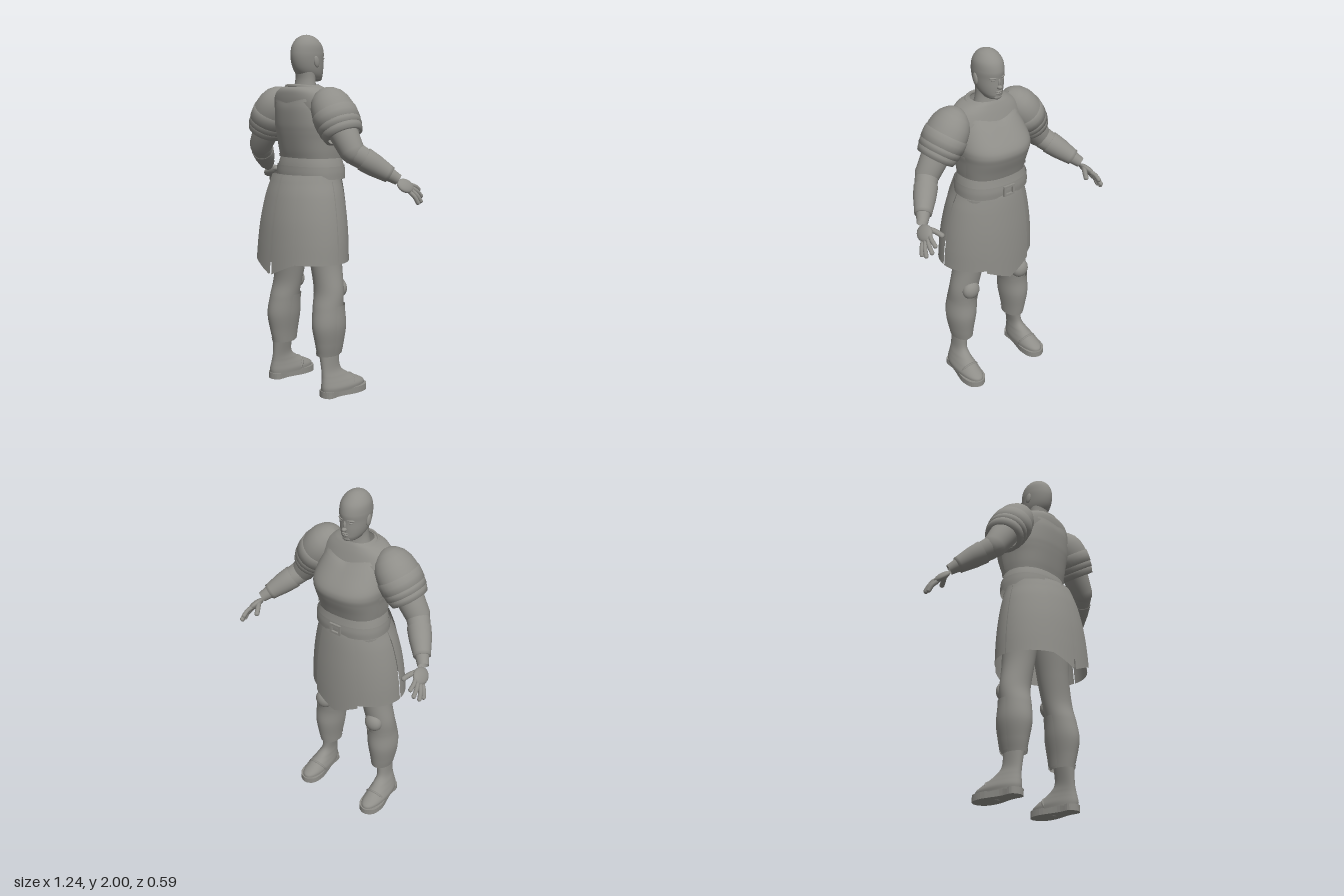
import * as THREE from 'three';
import { ParametricGeometry } from 'three/addons/geometries/ParametricGeometry.js';

const DEG = Math.PI / 180;
const V = (x, y, z) => new THREE.Vector3(x, y, z);

export function createModel() {
  const model = new THREE.Group();
  model.name = 'armouredFigure';
  const grey = new THREE.MeshStandardMaterial({ color: 0x8f8e89, side: THREE.DoubleSide });
  grey.name = 'stone grey';

  const add = (name, geo, parent = model) => {
    const mesh = new THREE.Mesh(geo, grey);
    mesh.name = name;
    parent.add(mesh);
    return mesh;
  };

  // Smooth shell through rings [y, halfWidth, backZ, frontZ, centreX], listed bottom to top.
  // Angles: 0 is +x, 90 is the front (-z), -90 the back.
  const shell = (name, rings, o = {}, parent = model) => {
    const { a0 = 0, a1 = 360, v0 = 0, v1 = 1, p = 2, grow = 0, dy = null, nu = 40, nv = rings.length * 5 } = o;
    const A = new THREE.CatmullRomCurve3(rings.map(r => V(r[0], r[1], r[4] || 0)), false, 'catmullrom');
    const B = new THREE.CatmullRomCurve3(rings.map(r => V(r[2], r[3], 0)), false, 'catmullrom');
    const pow = t => Math.sign(t) * Math.abs(t) ** (2 / p);
    return add(name, new ParametricGeometry((u, v, out) => {
      const t = Math.min(1, Math.max(0, v0 + (v1 - v0) * v));
      const a = (a0 + (a1 - a0) * u) * DEG;
      const m = A.getPoint(t), d = B.getPoint(t);
      const c = pow(Math.cos(a)), s = pow(Math.sin(a));
      const mid = (d.x + d.y) / 2, rz = (d.x - d.y) / 2 + grow;
      out.set(m.z + (m.y + grow) * c, m.x + (dy ? dy(a, t) : 0), mid - rz * s);
    }, nu, nv), parent);
  };

  // Lathe of [distance, radius] points along an axis from one point towards another
  const limb = (name, from, to, profile, parent, zScale = 1) => {
    const geo = new THREE.LatheGeometry(profile.map(([t, r]) => new THREE.Vector2(r, t)), 32);
    const q = new THREE.Quaternion().setFromUnitVectors(V(0, 1, 0), to.clone().sub(from).normalize());
    geo.applyQuaternion(q).scale(1, 1, zScale).translate(from.x, from.y, from.z);
    return add(name, geo, parent);
  };

  const blob = (name, x, y, z, rx, ry, rz, parent = model) => {
    const mesh = add(name, new THREE.SphereGeometry(1, 20, 14), parent);
    mesh.position.set(x, y, z);
    mesh.scale.set(rx, ry, rz);
    return mesh;
  };

  // Head and face
  shell('head', [
    [1.745, .004, -.035, -.045], [1.75, .036, .03, -.07], [1.768, .052, .06, -.08], [1.79, .064, .085, -.082],
    [1.82, .072, .104, -.083], [1.86, .077, .116, -.082], [1.90, .079, .118, -.084], [1.945, .073, .107, -.07],
    [1.98, .05, .08, -.037], [1.996, .022, .048, -.004], [2, .001, .022, .02]]);
  shell('neck', [[1.66, .085, .11, -.04], [1.71, .07, .09, -.025], [1.76, .062, .08, -.02], [1.81, .062, .085, -.03]]);
  blob('nose', 0, 1.82, -.083, .014, .011, .019);
  blob('noseBridge', 0, 1.84, -.08, .008, .026, .011);
  blob('upperLip', 0, 1.795, -.08, .021, .005, .008);
  blob('lowerLip', 0, 1.785, -.079, .017, .006, .008);
  blob('chin', 0, 1.762, -.07, .024, .014, .011);
  for (const s of [-1, 1]) {
    blob('ear', s * .079, 1.853, .018, .009, .032, .018).rotation.x = .2;
    blob('brow', s * .03, 1.871, -.072, .022, .005, .008).rotation.y = s * -.4;
    blob('eye', s * .031, 1.857, -.072, .011, .004, .005).rotation.y = s * -.4;
  }

  // Torso
  shell('shoulderCloth', [[1.5, .2, .14, -.12], [1.6, .21, .155, -.09], [1.67, .19, .158, -.065],
    [1.708, .145, .148, -.048], [1.728, .085, .11, -.036]], { p: 2.3 });
  const collar = add('collar', new THREE.TorusGeometry(1, .09, 8, 36));
  collar.position.set(0, 1.712, .045);
  collar.rotation.x = Math.PI / 2 - .12;
  collar.scale.set(.105, .085, .12);
  const plate = [[1.33, .187, .13, -.155], [1.37, .193, .14, -.168], [1.43, .2, .152, -.19], [1.475, .207, .16, -.2],
    [1.52, .206, .166, -.184], [1.6, .185, .17, -.125], [1.655, .16, .166, -.082]];
  const neckline = (a, v) => -.025 * v ** 6 * Math.max(0, 1 - Math.abs(Math.cos(a)) * 1.4);
  shell('breastplate', plate, { p: 2.4, dy: neckline, nu: 64 });
  shell('breastplateTopRim', plate, { p: 2.4, dy: neckline, nu: 64, grow: .006, v0: .95, nv: 3 });
  shell('breastplateBottomRim', plate, { p: 2.4, nu: 64, grow: .005, v1: .06, nv: 3 });
  for (const a of [0, 180]) shell('sidePlate', plate, { p: 2.4, a0: a - 12, a1: a + 12, grow: .014, v0: .03, v1: .5 });

  // Waist and belt
  shell('waistBand', [[1.275, .205, .142, -.163], [1.305, .197, .136, -.157], [1.345, .184, .125, -.15]], { p: 2.3 });
  shell('belt', [[1.215, .213, .15, -.166], [1.25, .212, .15, -.168], [1.285, .208, .147, -.165]], { p: 2.3 });
  const rect = (w, h) => [[-w, -h], [w, -h], [w, h], [-w, h]].map(q => new THREE.Vector2(...q));
  const frame = new THREE.Shape(rect(.035, .03));
  frame.holes.push(new THREE.Path(rect(.022, .018).reverse()));
  add('buckle', new THREE.ExtrudeGeometry(frame, { depth: .012, bevelEnabled: false })).position.set(0, 1.25, -.179);

  // Hips, then the skirt: four quarter panels with pointed flaps over the front and back
  shell('hips', [[1.08, .2, .17, -.14], [1.16, .2, .178, -.14], [1.215, .19, .172, -.14], [1.235, .15, .14, -.12]]);
  const skirt = [[.76, .29, .275, -.178], [.88, .282, .265, -.178], [1.0, .266, .25, -.174],
    [1.12, .24, .225, -.165], [1.2, .213, .2, -.156], [1.24, .2, .185, -.148]];
  for (let k = 0; k < 4; k++) shell('skirtPanel', skirt, { a0: k * 90 + .8, a1: k * 90 + 89.2, nu: 20 });
  const pointed = (a, v) => -.068 * (1 - v) ** 3 * Math.max(0, 1 - Math.abs(Math.cos(a)) / .5);
  const flaps = [[62, 118, 'frontFlap'], [-121, -92, 'backFlap'], [-88, -59, 'backFlap']];
  for (const [a0, a1, name] of flaps) {
    shell(name, skirt, { a0, a1, grow: .017, dy: pointed, nu: 20 });
    shell(name + 'Lining', skirt, { a0, a1, grow: .009, dy: pointed, nu: 20 });
  }

  // Limbs, built on +x for both sides, then mirrored for -x
  for (const s of [1, -1]) {
    const side = new THREE.Group();
    side.name = s > 0 ? 'leftLimbs' : 'rightLimbs';
    model.add(side);

    // Leg, greave and knee guard
    const leg = [[.232, .05, .103, -.042, .193], [.3, .062, .118, -.052, .196], [.4, .079, .134, -.064, .195],
      [.5, .082, .118, -.058, .187], [.6, .088, .094, -.068, .176], [.75, .088, .1, -.084, .147],
      [.95, .1, .12, -.1, .125], [1.2, .1, .13, -.12, .105]];
    shell('trouserLeg', leg, { nv: 48 }, side);
    shell('greave', leg, { a0: -8, a1: 188, grow: .011, v0: .02, v1: .46, nv: 20 }, side);
    shell('trouserCuff', leg, { grow: .004, v1: .04, nv: 3 }, side);
    blob('kneeGuard', .18, .598, -.058, .054, .056, .042, side);

    // Foot with a flat sole
    shell('shoe', [[.03, .062, .1, -.208, .225], [.055, .062, .102, -.2, .225], [.085, .052, .098, -.145, .222],
      [.115, .042, .094, -.085, .218], [.16, .034, .093, -.035, .211], [.25, .04, .097, -.03, .2]], { p: 2.2 }, side);
    const outline = new THREE.CatmullRomCurve3([[.225, -.105], [.268, -.085], [.27, -.01], [.294, .12], [.275, .19],
      [.225, .215], [.178, .19], [.16, .12], [.18, -.01], [.182, -.085]].map(q => V(q[0], q[1], 0)), true);
    const sole = new THREE.Shape(outline.getPoints(48).map(q => new THREE.Vector2(q.x, q.y)));
    add('sole', new THREE.ExtrudeGeometry(sole, { depth: .036, bevelEnabled: false }).rotateX(-Math.PI / 2), side);
    const band = add('shoeStrap', new THREE.TorusGeometry(1, .1, 6, 28), side);
    band.position.set(.222, .05, -.085);
    band.rotation.x = -.5;
    band.scale.set(.056, .056, .07);

    // Layered shoulder guard, deeper front to back than across
    const top = V(.2, 1.65, .045), along = V(.75, .82, .045);
    limb('shoulderDome', top, along, [[-.066, .001], [-.06, .03], [-.045, .056], [-.015, .084], [.025, .102],
      [.067, .11], [.1, .111]], side, 1.13);
    const bands = [[.085, .112, .155, .112], [.14, .108, .19, .107], [.178, .102, .228, .096]];
    for (const [t0, r0, t1, r1] of bands) {
      limb('shoulderBand', top, along, [[t0, r0 - .012], [t0, r0 + .003], [(t0 + t1) / 2, r0 + .004],
        [t1, r1 + .003], [t1, r1 - .014]], side, 1.13);
    }

    // Arm and bracer
    const shoulder = V(.25, 1.58, .05), elbow = V(.385, 1.378, .04), wrist = V(.54, 1.235, -.14);
    limb('upperArm', shoulder, elbow, [[0, .08], [.1, .08], [.17, .074], [.245, .067], [.28, .053], [.305, .028], [.312, .001]], side);
    limb('forearm', elbow, wrist, [[-.065, .001], [-.05, .04], [-.02, .057], [.03, .062], [.1, .057], [.18, .045], [.26, .033], [.285, .03]], side);
    limb('bracer', elbow, wrist, [[.07, .056], [.07, .065], [.14, .06], [.215, .048], [.232, .046], [.232, .032]], side);

    // Hand with spread fingers
    const tube = (name, pts, r) => {
      add(name, new THREE.TubeGeometry(new THREE.CatmullRomCurve3(pts), 10, r, 10), side);
      const e = pts[pts.length - 1];
      blob(name + 'Tip', e.x, e.y, e.z, r, r, r, side);
    };
    blob('palm', .558, 1.197, -.185, .02, .045, .056, side).rotation.z = .7;
    const fingers = [[.553, 1.2, -.225, .562, 1.172, -.286], [.567, 1.183, -.227, .582, 1.138, -.284],
      [.576, 1.17, -.217, .602, 1.113, -.26], [.58, 1.162, -.2, .608, 1.108, -.23]];
    for (const [x, y, z, X, Y, Z] of fingers) {
      tube('finger', [V(.553, 1.205, -.18), V(x, y, z), V((x + X) / 2 + .004, (y + Y) / 2 + .004, (z + Z) / 2), V(X, Y, Z)], .012);
    }
    tube('thumb', [V(.548, 1.212, -.165), V(.526, 1.212, -.2), V(.508, 1.203, -.228), V(.496, 1.192, -.25)], .014);

    // Bake the mirrored side, turning its triangles over
    if (s < 0) for (const m of side.children) {
      m.updateMatrix();
      const geo = m.geometry.applyMatrix4(m.matrix).scale(-1, 1, 1);
      m.position.set(0, 0, 0);
      m.rotation.set(0, 0, 0);
      m.scale.set(1, 1, 1);
      if (!geo.index) geo.setIndex([...Array(geo.attributes.position.count).keys()]);
      const ix = geo.index.array;
      for (let i = 0; i < ix.length; i += 3) [ix[i], ix[i + 1]] = [ix[i + 1], ix[i]];
    }
  }
  return model;
}
